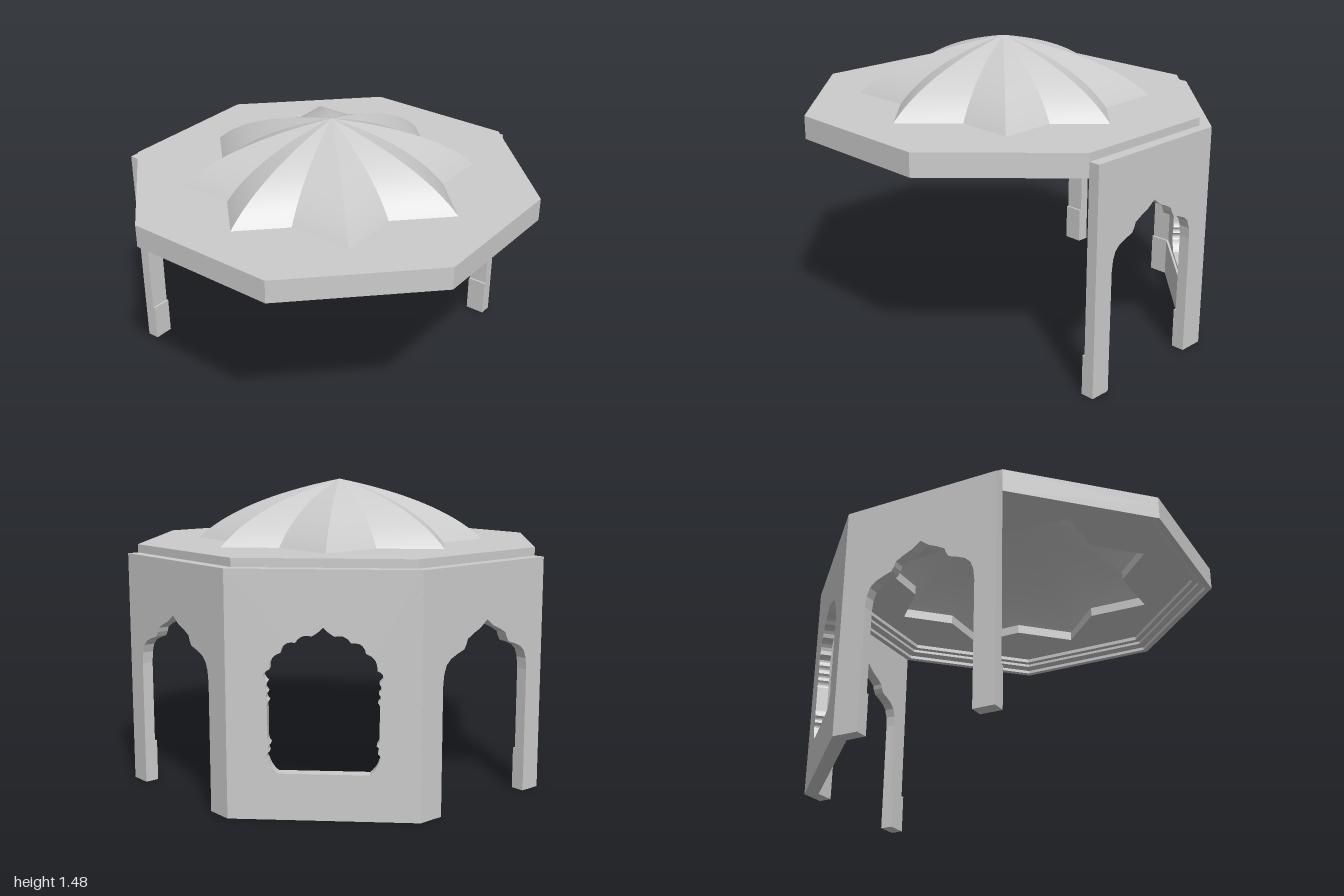
import * as THREE from 'three';

const grey = new THREE.MeshStandardMaterial({ color: 0xcccccc });
const greyDouble = new THREE.MeshStandardMaterial({ color: 0xcccccc, side: THREE.DoubleSide });
const T = 0.055;       // wall thickness
const WALL_TOP = 1.13;
const CZ = 0.025;      // roof centre in z

function part(name, geometry, parent, material = grey) {
  const mesh = new THREE.Mesh(geometry, material);
  mesh.name = name;
  parent.add(mesh);
  return mesh;
}

// Octagon of the roof, inset by d, anticlockwise seen from above, as [x, z]
function octagon(d) {
  const k = 0.414 * d, X = 0.96 - d, Z = 0.935 - d, x = 0.41 - k, z = 0.385 - k;
  return [[X, z], [X, -z], [x, -Z], [-x, -Z], [-X, -z], [-X, z], [-x, Z], [x, Z]]
    .map(([px, pz]) => [px, pz + CZ]);
}

// Eight-pointed star: two crossed squares, the second turned very slightly
const star = [
  [0.73, 0], [0.53, -0.2], [0.53, -0.48], [0.25, -0.48], [0.01, -0.71], [-0.21, -0.48],
  [-0.53, -0.48], [-0.53, -0.17], [-0.73, 0.04], [-0.53, 0.24], [-0.53, 0.525], [-0.25, 0.525],
  [-0.02, 0.755], [0.2, 0.525], [0.53, 0.525], [0.53, 0.2],
];

// Skin over rings of [x, y, z]; each side is its own strip, so corners stay sharp
function loft(rings, flat) {
  const pos = [], index = [], n = rings[0].length;
  for (let s = 0; s < n; s++) {
    const base = pos.length / 3;
    rings.forEach((ring) => pos.push(...ring[s], ...ring[(s + 1) % n]));
    for (let r = 0; r < rings.length - 1; r++) {
      const a = base + r * 2;
      index.push(a, a + 2, a + 1, a + 1, a + 2, a + 3);
    }
  }
  let g = new THREE.BufferGeometry();
  g.setAttribute('position', new THREE.Float32BufferAttribute(pos, 3));
  g.setIndex(index);
  if (flat) g = g.toNonIndexed();
  g.computeVertexNormals();
  return g;
}

function makeRoof() {
  const roof = new THREE.Group();
  roof.name = 'roof';

  // Ceiling plate with the star opening
  const toShape = ([x, z]) => new THREE.Vector2(x, -z);
  const plate = new THREE.Shape(octagon(0).map(toShape));
  plate.holes.push(new THREE.Path(star.map(toShape)));
  const plateGeo = new THREE.ExtrudeGeometry(plate, { depth: 0.05, bevelEnabled: false });
  plateGeo.rotateX(-Math.PI / 2).translate(0, 1.12, 0);
  part('ceilingPlate', plateGeo, roof);

  // Rim with a stepped moulding on its inner side: [inset, y]
  const moulding = [[0, 1.12], [0, 1.055], [0.03, 1.055], [0.03, 1.072],
    [0.06, 1.085], [0.06, 1.1], [0.09, 1.1], [0.09, 1.12]];
  const rim = moulding.map(([d, y]) => octagon(d).map(([x, z]) => [x, y, z]));
  part('corniceRim', loft(rim, true), roof);

  // Dome: the star shrinks to the apex along a curved profile
  const profile = new THREE.QuadraticBezierCurve(
    new THREE.Vector2(0, 1.475), new THREE.Vector2(0.71, 1.37), new THREE.Vector2(1, 1.17));
  const rings = profile.getPoints(20).map((p) =>
    star.map(([x, z]) => [x * p.x, p.y, CZ + (z - CZ) * p.x]));
  part('starDome', loft(rings, false), roof, greyDouble);
  return roof;
}

// Extrude a wall outward from its inner face and mitre the chosen ends
function wallGeometry(shape, half, mitreLeft, mitreRight) {
  const g = new THREE.ExtrudeGeometry(shape, { depth: T, bevelEnabled: false, curveSegments: 5 });
  const p = g.attributes.position;
  for (let i = 0; i < p.count; i++) {
    const x = p.getX(i);
    if (p.getZ(i) < T / 2 || Math.abs(x) < half - 1e-4) continue;
    if (x > 0 ? mitreRight : mitreLeft) p.setX(i, x + Math.sign(x) * T * 0.414);
  }
  g.computeVertexNormals();
  return g;
}

function block(name, w, h, d, x, y, z, parent) {
  part(name, new THREE.BoxGeometry(w, h, d), parent).position.set(x, y, z);
}

// Back wall with a scalloped window
function makeBackWall() {
  const wall = new THREE.Group();
  wall.name = 'backWall';
  const half = 0.41;
  const shape = new THREE.Shape();
  shape.moveTo(-half, 0).lineTo(half, 0).lineTo(half, WALL_TOP).lineTo(-half, WALL_TOP).closePath();

  // Cusps up the right edge, each with the bulge of the lobe that leads to it
  const lobes = [[0.245, 0.275, 0.012], [0.24, 0.315, 0.022], [0.235, 0.35, 0.018],
    [0.248, 0.39, 0.008], [0.248, 0.51, 0], [0.24, 0.545, 0.01], [0.243, 0.585, 0.022],
    [0.245, 0.63, 0.022], [0.236, 0.688, 0.045], [0.187, 0.762, 0.035],
    [0.122, 0.807, 0.04], [0.05, 0.836, 0.03], [0, 0.876, -0.006]];
  const right = [new THREE.Vector2(0.205, 0.215)];
  lobes.forEach(([x, y, bulge]) => {
    const a = right[right.length - 1], b = new THREE.Vector2(x, y);
    const dir = b.clone().sub(a).normalize();
    const mid = a.clone().add(b).multiplyScalar(0.5)
      .add(new THREE.Vector2(dir.y, -dir.x).multiplyScalar(bulge));
    right.push(...new THREE.QuadraticBezierCurve(a, mid, b).getPoints(5).slice(1));
  });
  const left = right.slice(0, -1).reverse().map((p) => new THREE.Vector2(-p.x, p.y));
  shape.holes.push(new THREE.Path([...right, ...left]));

  part('windowWall', wallGeometry(shape, half, true, true), wall);
  block('backPlinth', 2 * half, 0.2, 0.012, 0, 0.1, -0.006, wall);
  wall.rotation.y = Math.PI;
  wall.position.z = -0.91;
  return wall;
}

// Diagonal wall with a cusped open arch; side is +1 (left) or -1 (right)
function makeArchWall(side) {
  const wall = new THREE.Group();
  wall.name = side > 0 ? 'leftArchWall' : 'rightArchWall';
  const half = 0.389;
  const arch = [[0.283, 0], [0.283, 0.6], [0.277, 0.655], [0.262, 0.695], [0.235, 0.72],
    [0.195, 0.737], [0.15, 0.752], [0.136, 0.775], [0.128, 0.797], [0.09, 0.818], [0.045, 0.838]];
  const opening = [...arch.map(([x, y]) => [-x, y]), [0, 0.872], ...arch.slice().reverse()];
  const outline = [[-half, 0], ...opening, [half, 0], [half, WALL_TOP], [-half, WALL_TOP]];
  const shape = new THREE.Shape(outline.map(([x, y]) => new THREE.Vector2(x, y)));

  part('archWall', wallGeometry(shape, half, side < 0, side > 0), wall);
  for (const s of [-1, 1]) {
    block('pillarPlinth', half - 0.283, 0.2, 0.012, s * (half + 0.283) / 2, 0.1, -0.006, wall);
  }
  wall.rotation.y = side * Math.PI * 0.75;
  wall.position.set(side * 0.685, 0, -0.635);
  return wall;
}

export function createModel() {
  const model = new THREE.Group();
  model.name = 'pavilion';
  model.add(makeRoof(), makeBackWall(), makeArchWall(1), makeArchWall(-1));
  return model;
}
